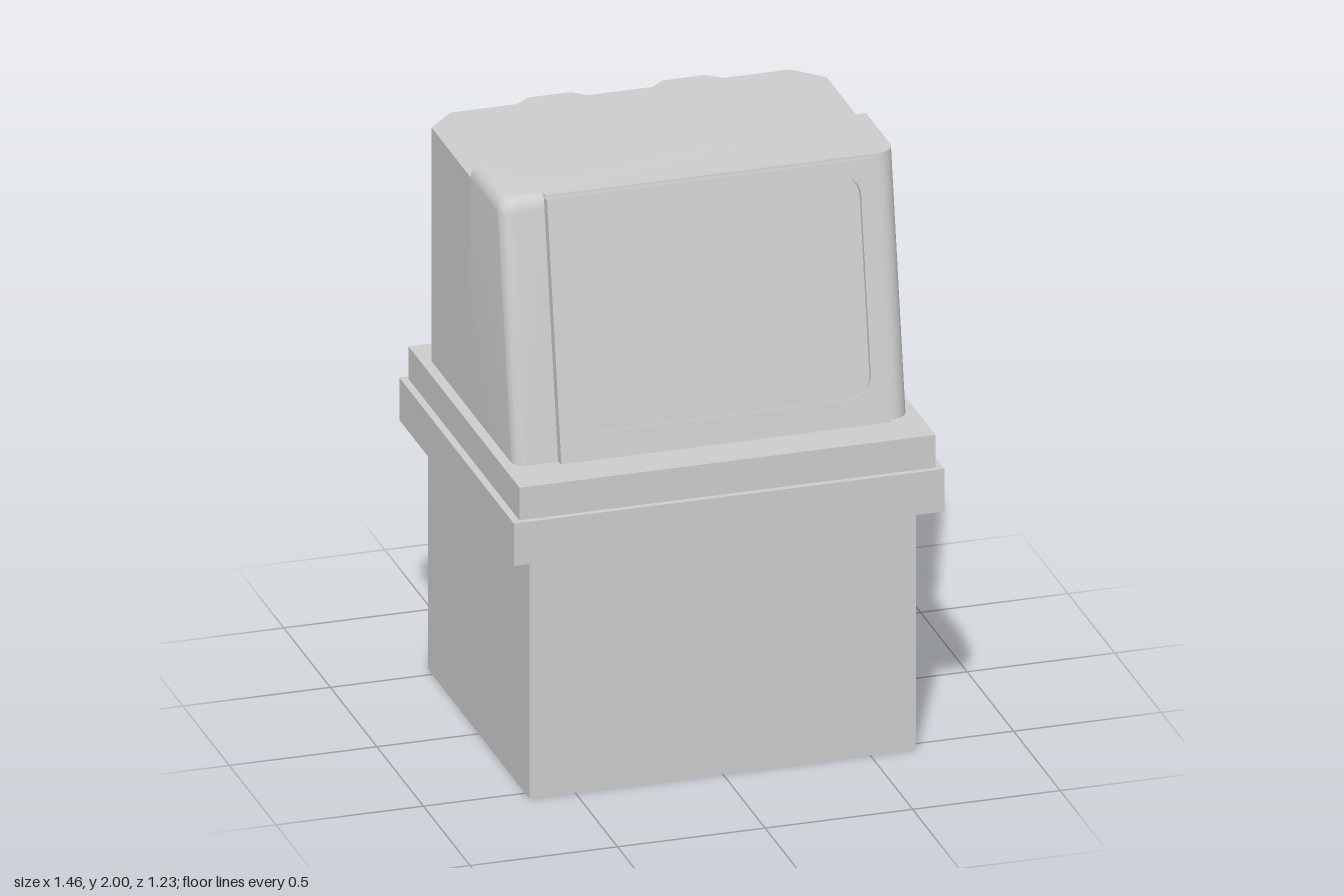
import * as THREE from 'three';
import { toCreasedNormals } from 'three/addons/utils/BufferGeometryUtils.js';

const grey = new THREE.MeshStandardMaterial({ color: 0xcccccc });
grey.name = 'plain grey';

function add(parent, name, geometry) {
  const mesh = new THREE.Mesh(geometry, grey);
  mesh.name = name;
  parent.add(mesh);
  return mesh;
}

function box(parent, name, w, d, y0, y1) {
  add(parent, name, new THREE.BoxGeometry(w, y1 - y0, d)).position.y = (y0 + y1) / 2;
}

// Upright slab from a plan of [x, z] points
function slab(parent, name, plan, y0, y1) {
  const shape = new THREE.Shape(plan.map(([x, z]) => new THREE.Vector2(x, -z)));
  const geometry = new THREE.ExtrudeGeometry(shape, { depth: y1 - y0, bevelEnabled: false });
  geometry.rotateX(-Math.PI / 2).translate(0, y0, 0);
  add(parent, name, geometry);
}

// Rounded rectangle outline
function roundedRect(path, x0, y0, x1, y1, r) {
  path.moveTo(x0 + r, y0).lineTo(x1 - r, y0);
  path.absarc(x1 - r, y0 + r, r, -Math.PI / 2, 0);
  path.absarc(x1 - r, y1 - r, r, 0, Math.PI / 2);
  path.absarc(x0 + r, y1 - r, r, Math.PI / 2, Math.PI);
  path.absarc(x0 + r, y0 + r, r, Math.PI, Math.PI * 1.5);
  return path;
}

const BASE = 1.125, TOP = 2, STEP_Z = -0.04, HALF = 0.67;
const frontZ = (y) => 0.435 - 0.155 * (y - BASE) / (TOP - BASE);

// Plan outline of the sloping front at one height; inset rounds over the -x top edges
function frontRing(y, inset) {
  const z = frontZ(y), x0 = -HALF + inset, zl = z - inset * 0.7, rl = 0.045, rr = 0.06;
  const ring = [[x0, STEP_Z]];
  for (let i = 0; i <= 8; i++) {
    const a = i / 8 * Math.PI / 2;
    ring.push([x0 + rl - rl * Math.cos(a), zl - rl + rl * Math.sin(a)]);
  }
  ring.push([-0.52, zl], [-0.515, z]);
  for (let i = 0; i <= 8; i++) {
    const a = i / 8 * Math.PI / 2;
    ring.push([HALF - rr + rr * Math.sin(a), z - rr + rr * Math.cos(a)]);
  }
  ring.push([HALF, STEP_Z]);
  return ring.map(([x, zz]) => [x, y, zz]);
}

function frontGeometry() {
  const r = 0.05, rings = [frontRing(BASE, 0)];
  for (let i = 0; i <= 6; i++) {
    const a = i / 6 * Math.PI / 2;
    rings.push(frontRing(TOP - r + r * Math.sin(a), r * (1 - Math.cos(a))));
  }
  const n = rings[0].length, index = [];
  for (let k = 0; k < rings.length - 1; k++) {
    for (let i = 0; i < n; i++) {
      const a = k * n + i, b = k * n + (i + 1) % n;
      index.push(a, b, b + n, a, b + n, a + n);
    }
  }
  // Top and bottom caps
  const t = (rings.length - 1) * n;
  for (let i = 0; i < n - 2; i++) {
    index.push(t + n - 1, t + i, t + i + 1, n - 1, i + 1, i);
  }
  const geometry = new THREE.BufferGeometry();
  geometry.setAttribute('position', new THREE.Float32BufferAttribute(rings.flat(2), 3));
  geometry.setIndex(index);
  return toCreasedNormals(geometry, 0.6);
}

export function createModel() {
  const model = new THREE.Group();
  model.name = 'consoleUnit';

  // Pedestal and stepped collar
  box(model, 'pedestal', 1.31, 1.09, 0, 0.86);
  box(model, 'lowerCollar', 1.46, 1.23, 0.86, 1.01);
  box(model, 'upperCollar', 1.41, 1.19, 1.01, BASE);

  // Rear housing: ribbed layers above and below a shallow pocket
  const back = -0.555;
  const mirror = (half) => [...half, ...half.map(([x, z]) => [-x, z]).reverse()];
  const ribbed = mirror([
    [-HALF, STEP_Z], [-HALF, -0.46], [-0.575, back], [-0.35, back],
    [-0.3, -0.595], [-0.155, -0.595], [-0.11, back],
  ]);
  const pocket = mirror([
    [-HALF, STEP_Z], [-HALF, -0.46], [-0.575, back], [-0.51, back], [-0.51, back + 0.02],
  ]);
  const rear = new THREE.Group();
  rear.name = 'rearHousing';
  model.add(rear);
  slab(rear, 'lowerRibs', ribbed, BASE, 1.345);
  slab(rear, 'backPocket', pocket, 1.345, 1.66);
  slab(rear, 'upperRibs', ribbed, 1.66, 1.95);

  // Sloping front housing
  add(model, 'frontHousing', frontGeometry());

  // Tilted bezel with a recessed screen
  const display = new THREE.Group();
  display.name = 'display';
  display.position.set(0, BASE, 0.435);
  display.rotation.x = -Math.atan2(0.155, TOP - BASE);
  model.add(display);
  const hole = [-0.465, 0.09, 0.535, 0.842, 0.08];
  const frame = new THREE.Shape([[-0.523, 0], [0.595, 0], [0.595, 0.882], [-0.523, 0.882]]
    .map(([x, y]) => new THREE.Vector2(x, y)));
  frame.holes.push(roundedRect(new THREE.Path(), ...hole));
  add(display, 'bezel', new THREE.ExtrudeGeometry(frame, { depth: 0.035, bevelEnabled: false }));
  const pane = roundedRect(new THREE.Shape(), ...hole);
  add(display, 'screen', new THREE.ExtrudeGeometry(pane, { depth: 0.018, bevelEnabled: false }));

  return model;
}
